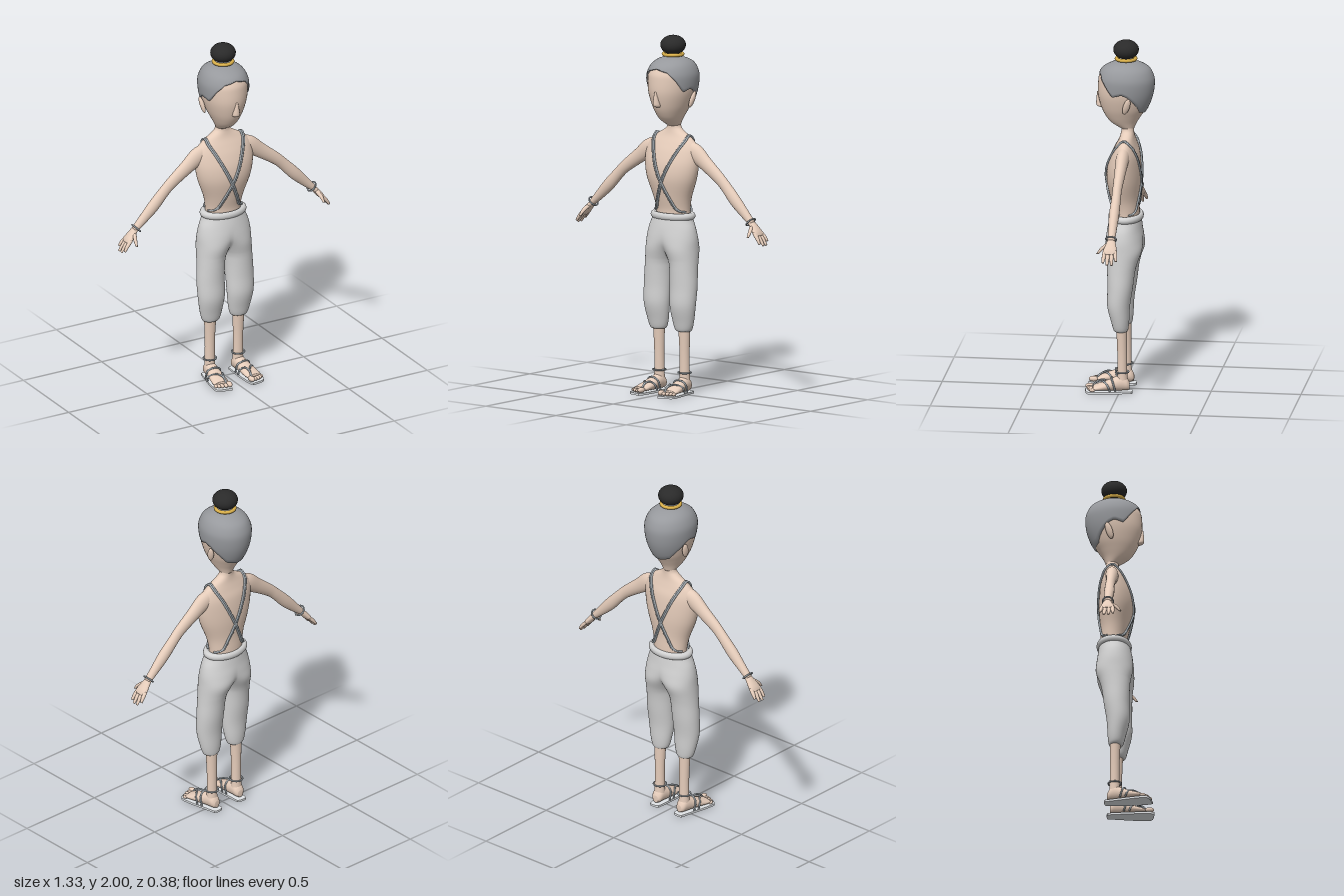
import * as THREE from 'three';

const mat = (name, color) => Object.assign(new THREE.MeshStandardMaterial({ color }), { name });
const skin = mat('skin', 0xe5ccba), hairGrey = mat('hair grey', 0x97999d), cloth = mat('cloth grey', 0xd2d2d2);
const cord = mat('cord grey', 0xadb5bb), black = mat('bun black', 0x2a2a2a), gold = mat('gold', 0xdab04a);
const soleGrey = mat('sole pale grey', 0xe0e3e6);

// Catmull-Rom subdivision of rows of numbers
function smooth(rows, k = 5) {
  const out = [], at = i => rows[Math.max(0, Math.min(rows.length - 1, i))];
  for (let i = 0; i < rows.length - 1; i++) for (let s = 0; s < k; s++) {
    const t = s / k, [a, b, c, d] = [at(i - 1), at(i), at(i + 1), at(i + 2)];
    out.push(b.map((_, n) => 0.5 * (2 * b[n] + (c[n] - a[n]) * t + (2 * a[n] - 5 * b[n] + 4 * c[n] - d[n]) * t * t
      + (3 * b[n] - a[n] - 3 * c[n] + d[n]) * t * t * t)));
  }
  out.push(rows[rows.length - 1]);
  return out;
}

// Skin a list of rings (arrays of Vector3) with closed loops
function skinRings(rings) {
  const n = rings[0].length, index = [];
  for (let i = 0; i < rings.length - 1; i++) for (let j = 0; j < n; j++) {
    const a = i * n + j, b = i * n + (j + 1) % n;
    index.push(a, a + n, b, b, a + n, b + n);
  }
  const g = new THREE.BufferGeometry().setFromPoints(rings.flat());
  g.setIndex(index);
  g.computeVertexNormals();
  return g;
}

// Elliptical loft through [x, y, z, radiusAcross, radiusZ]; flat keeps rings horizontal
function loft(rows, { flat = true, sides = 28 } = {}) {
  const s = smooth(rows);
  const ring = (r, i, f) => {
    const p = s[Math.max(0, i - 1)], q = s[Math.min(s.length - 1, i + 1)];
    let dx = flat ? 0 : q[0] - p[0], dy = q[1] - p[1];
    const l = Math.hypot(dx, dy) || 1;
    dx /= l; dy /= l;
    return Array.from({ length: sides }, (_, j) => {
      const a = j / sides * Math.PI * 2, c = Math.cos(a) * r[3] * f;
      return new THREE.Vector3(r[0] + dy * c, r[1] - dx * c, r[2] + Math.sin(a) * r[4] * f);
    });
  };
  const last = s.length - 1;
  return skinRings([ring(s[0], 0, 0.001), ...s.map((r, i) => ring(r, i, 1)), ring(s[last], last, 0.001)]);
}

// Half a pair of trousers: rings are cut at the middle plane so both halves meet without a seam
function trouserHalf(rows, n = 36) {
  const rings = smooth(rows).map(([x, y, z, rx, rz]) => {
    const end = x < rx ? Math.acos(-x / rx) : Math.PI * (1 - 1 / n);
    return Array.from({ length: n }, (_, j) => {
      const a = end * (2 * j / (n - 1) - 1);
      return new THREE.Vector3(x + Math.cos(a) * rx, y, z + Math.sin(a) * rz);
    });
  });
  const g = skinRings(rings), p = g.attributes.position, v = new THREE.Vector3();
  for (let i = 0; i < p.count; i++) if (Math.abs(p.getX(i)) < 1e-5) {
    v.fromBufferAttribute(g.attributes.normal, i).setX(0).normalize();
    g.attributes.normal.setXYZ(i, v.x, v.y, v.z);
  }
  return g;
}

// Rows of [y, frontZ, backZ, halfWidth] turned into loft rows
const body = rows => rows.map(([y, f, b, w]) => [0, y, (f + b) / 2, w, (f - b) / 2]);
// Linear lookup of a finely sampled row list by height
function sample(rows, y) {
  let i = 0;
  while (i < rows.length - 2 && rows[i + 1][1] < y) i++;
  const t = THREE.MathUtils.clamp((y - rows[i][1]) / (rows[i + 1][1] - rows[i][1]), 0, 1);
  return rows[i].map((v, n) => v + (rows[i + 1][n] - v) * t);
}

function add(parent, name, geo, material, pos = [0, 0, 0], rot = [0, 0, 0], scale = [1, 1, 1]) {
  const m = new THREE.Mesh(geo, material);
  m.name = name;
  m.position.set(...pos); m.rotation.set(...rot); m.scale.set(...scale);
  parent.add(m);
  return m;
}
const tube = (pts, r, seg = 32) => new THREE.TubeGeometry(
  new THREE.CatmullRomCurve3(pts.map(p => new THREE.Vector3(...p))), seg, r, 8);
const ball = new THREE.SphereGeometry(1, 28, 20);

const torsoRows = body([
  [0.98, 0.045, -0.1, 0.105], [1.03, 0.045, -0.1, 0.107], [1.1, 0.06, -0.1, 0.122], [1.2, 0.08, -0.108, 0.16],
  [1.28, 0.076, -0.107, 0.177], [1.35, 0.055, -0.1, 0.178], [1.4, 0.032, -0.085, 0.162], [1.44, 0.012, -0.074, 0.115],
  [1.47, 0.003, -0.07, 0.062], [1.495, 0, -0.07, 0.04], [1.55, 0, -0.07, 0.038]]);
const headRows = body([
  [1.495, 0, -0.07, 0.036], [1.53, 0.058, -0.085, 0.056], [1.57, 0.09, -0.11, 0.077], [1.62, 0.113, -0.142, 0.1],
  [1.69, 0.13, -0.168, 0.122], [1.76, 0.13, -0.177, 0.13], [1.8, 0.123, -0.17, 0.125], [1.84, 0.098, -0.147, 0.104],
  [1.865, 0.05, -0.1, 0.07], [1.876, 0, -0.05, 0.025]]);

// Hair cap following the skull down to a hairline that varies round the head
function hairCap() {
  const line = [[0, 1.825], [30, 1.808], [47, 1.77], [69, 1.70], [88, 1.717], [101, 1.70], [140, 1.605], [180, 1.59]];
  const skull = smooth(headRows), n = 72, rings = [];
  for (let i = 21; i >= 0; i--) {
    const t = Math.min(1, i / 20), off = i === 21 ? -0.006 : 0.008;
    rings.push(Array.from({ length: n }, (_, j) => {
      const a = j / n * Math.PI * 2, deg = Math.abs(Math.atan2(Math.cos(a), Math.sin(a))) * 180 / Math.PI;
      let s = 0;
      while (s < line.length - 2 && line[s + 1][0] < deg) s++;
      const u = (deg - line[s][0]) / (line[s + 1][0] - line[s][0]);
      const low = line[s][1] + (line[s + 1][1] - line[s][1]) * u;
      const y = 1.876 - (1.876 - low) * t * t, r = sample(skull, y);
      return new THREE.Vector3(Math.cos(a) * (r[3] + off), y + 0.006 * (1 - t), r[2] + Math.sin(a) * (r[4] + off));
    }));
  }
  rings.push(rings[rings.length - 1].map(() => new THREE.Vector3(0, 1.884, -0.025)));
  return skinRings(rings);
}

// Shoulder cord running over the torso, front to back; shift offsets it sideways
function strapPath(shift) {
  const rows = smooth(torsoRows);
  const on = (x, y, side) => {
    const r = sample(rows, y), q = Math.min(0.97, Math.abs(x / r[3]));
    return [x + shift, y, r[2] + side * (r[4] * Math.sqrt(1 - q * q) + 0.005)];
  };
  const run = side => [on(-0.103, 1.02, side), on(-0.085, 1.026, side), ...Array.from({ length: 10 }, (_, i) =>
    on(-0.067 + 0.177 * i / 9, 1.042 + 0.378 * i / 9, side))];
  return [...run(1), [0.114 + shift, 1.449, -0.025], ...run(-1).reverse()];
}

// Arm, hand, leg, foot and cords of the +x side
function sideParts() {
  const g = new THREE.Group();
  add(g, 'arm', loft([[0.11, 1.375, -0.027, 0.046, 0.035], [0.165, 1.352, -0.025, 0.052, 0.036],
    [0.235, 1.303, -0.023, 0.042, 0.031], [0.33, 1.235, -0.02, 0.034, 0.026], [0.38, 1.19, -0.02, 0.032, 0.026],
    [0.45, 1.118, -0.018, 0.034, 0.028], [0.52, 1.05, -0.018, 0.026, 0.023], [0.57, 1.003, -0.018, 0.018, 0.021]],
  { flat: false }), skin);
  const bangle = add(g, 'wristCord', new THREE.TorusGeometry(0.029, 0.0045, 8, 28), cord,
    [0.56, 1.012, -0.016], [0, Math.PI / 2, -Math.PI / 4]);
  bangle.rotation.order = 'ZYX';
  add(g, 'palm', loft([[0.562, 1.01, -0.018, 0.017, 0.02], [0.585, 0.985, -0.018, 0.017, 0.029],
    [0.61, 0.956, -0.016, 0.016, 0.039], [0.625, 0.938, -0.016, 0.01, 0.036]], { flat: false }), skin);
  [[-0.044, -0.054, 0.648, 0.91], [-0.026, -0.031, 0.66, 0.89], [-0.006, -0.006, 0.66, 0.89], [0.012, 0.018, 0.652, 0.9]]
    .forEach(([z0, z1, x, y]) => add(g, 'finger', loft([[0.607, 0.958, z0, 0.01, 0.011],
      [(0.607 + x) / 2 + 0.003, (0.958 + y) / 2, (z0 + z1) / 2, 0.01, 0.011], [x, y, z1, 0.006, 0.007]],
    { flat: false, sides: 12 }), skin));
  add(g, 'thumb', loft([[0.578, 0.99, 0, 0.011, 0.014], [0.592, 0.965, 0.03, 0.011, 0.013],
    [0.597, 0.936, 0.055, 0.006, 0.007]], { flat: false, sides: 12 }), skin);

  // Trouser half from gathered cuff to waist
  add(g, 'trouserLeg', trouserHalf([[0.09, 0.352, -0.01, 0.03, 0.028], [0.089, 0.36, -0.008, 0.05, 0.04],
    [0.09, 0.41, -0.004, 0.065, 0.05], [0.092, 0.5, 0.004, 0.078, 0.063], [0.092, 0.6, -0.004, 0.081, 0.07],
    [0.088, 0.69, -0.009, 0.08, 0.077], [0.082, 0.745, -0.014, 0.083, 0.085], [0.062, 0.81, -0.02, 0.1, 0.101],
    [0.026, 0.87, -0.02, 0.133, 0.102], [0, 0.925, -0.02, 0.148, 0.097], [0, 0.97, -0.022, 0.13, 0.09],
    [0, 1.0, -0.024, 0.12, 0.084]]), cloth);
  add(g, 'shin', loft([[0.09, 0.06, -0.017, 0.032, 0.03], [0.09, 0.12, -0.016, 0.029, 0.027],
    [0.09, 0.24, -0.015, 0.029, 0.027], [0.09, 0.38, -0.012, 0.036, 0.03]]), skin);
  add(g, 'ankleCord', new THREE.TorusGeometry(0.036, 0.0045, 8, 28), cord, [0.09, 0.12, -0.015], [Math.PI / 2, 0, 0]);

  // Foot and sandal, turned slightly outward
  const foot = new THREE.Group();
  foot.name = 'foot';
  foot.position.set(0.09, 0, -0.02);
  foot.rotation.y = 0.08;
  g.add(foot);
  add(foot, 'footSkin', loft([[0, -0.036, -0.04, 0.018, 0.02], [0, -0.022, -0.05, 0.03, 0.034], [0, 0.005, -0.058, 0.034, 0.044],
    [0, 0.045, -0.051, 0.037, 0.038], [0.001, 0.09, -0.041, 0.043, 0.028], [0.002, 0.14, -0.031, 0.046, 0.018],
    [0.002, 0.165, -0.028, 0.042, 0.012]]).rotateX(Math.PI / 2), skin);
  [[-0.034, 0.184, 0.015], [-0.012, 0.185, 0.011], [0.008, 0.181, 0.011], [0.026, 0.176, 0.01], [0.041, 0.168, 0.009]]
    .forEach(([x, z, r]) => add(foot, 'toe', ball, skin, [x, 0.013 + r, z], [0, 0, 0], [r, r, r * 1.7]));
  const outline = new THREE.Shape();
  outline.moveTo(-0.03, 0.045);
  outline.bezierCurveTo(-0.025, 0.056, 0.025, 0.056, 0.03, 0.045);
  outline.bezierCurveTo(0.036, -0.03, 0.052, -0.1, 0.052, -0.17);
  outline.bezierCurveTo(0.052, -0.195, 0.04, -0.2, 0.02, -0.206);
  outline.lineTo(-0.04, -0.212);
  outline.bezierCurveTo(-0.056, -0.19, -0.043, -0.05, -0.03, 0.045);
  add(foot, 'sole', new THREE.ExtrudeGeometry(outline, { depth: 0.012, bevelEnabled: false, curveSegments: 10 })
    .rotateX(-Math.PI / 2), soleGrey);
  for (const s of [1, -1]) add(foot, 'thongStrap', tube([[s * 0.046, 0.015, 0.07], [s * 0.041, 0.05, 0.085],
    [s * 0.015 - 0.01, 0.067, 0.115], [-0.02, 0.052, 0.15], [-0.022, 0.02, 0.175]], 0.005), cord);
  add(foot, 'instepStrap', tube([[-0.043, 0.015, 0.04], [-0.037, 0.068, 0.055], [0, 0.085, 0.065],
    [0.037, 0.068, 0.055], [0.043, 0.015, 0.04]], 0.005), cord);

  for (const shift of [-0.005, 0.005]) add(g, 'shoulderCord', tube(strapPath(shift), 0.0055, 110), cord);
  add(g, 'ear', ball, skin, [0.123, 1.65, -0.043], [-0.25, 0.25, -0.2], [0.013, 0.049, 0.019]);
  return g;
}

export function createModel() {
  const model = new THREE.Group();
  model.name = 'figure';
  add(model, 'torso', loft(torsoRows, { sides: 40 }), skin);
  add(model, 'head', loft(headRows, { sides: 40 }), skin);
  add(model, 'nose', loft([[0, 1.612, 0.108, 0.012, 0.01], [0, 1.622, 0.116, 0.021, 0.023], [0, 1.65, 0.122, 0.017, 0.019],
    [0, 1.7, 0.128, 0.006, 0.008]], { sides: 16 }), skin);
  add(model, 'hair', hairCap(), hairGrey);
  add(model, 'bun', ball, black, [0, 1.946, -0.025], [0, 0, 0], [0.071, 0.054, 0.071]);
  add(model, 'bunRing', new THREE.TorusGeometry(0.053, 0.01, 12, 36), gold, [0, 1.894, -0.025], [Math.PI / 2, 0, 0]);
  add(model, 'waistband', new THREE.TorusGeometry(0.119, 0.02, 14, 48), cloth,
    [0, 0.994, -0.025], [Math.PI / 2, 0, 0], [1, 0.7, 1]);

  const left = sideParts(), right = sideParts();
  left.name = 'leftSide';
  right.name = 'rightSide';
  right.scale.x = -1;
  model.add(left, right);
  return model;
}
